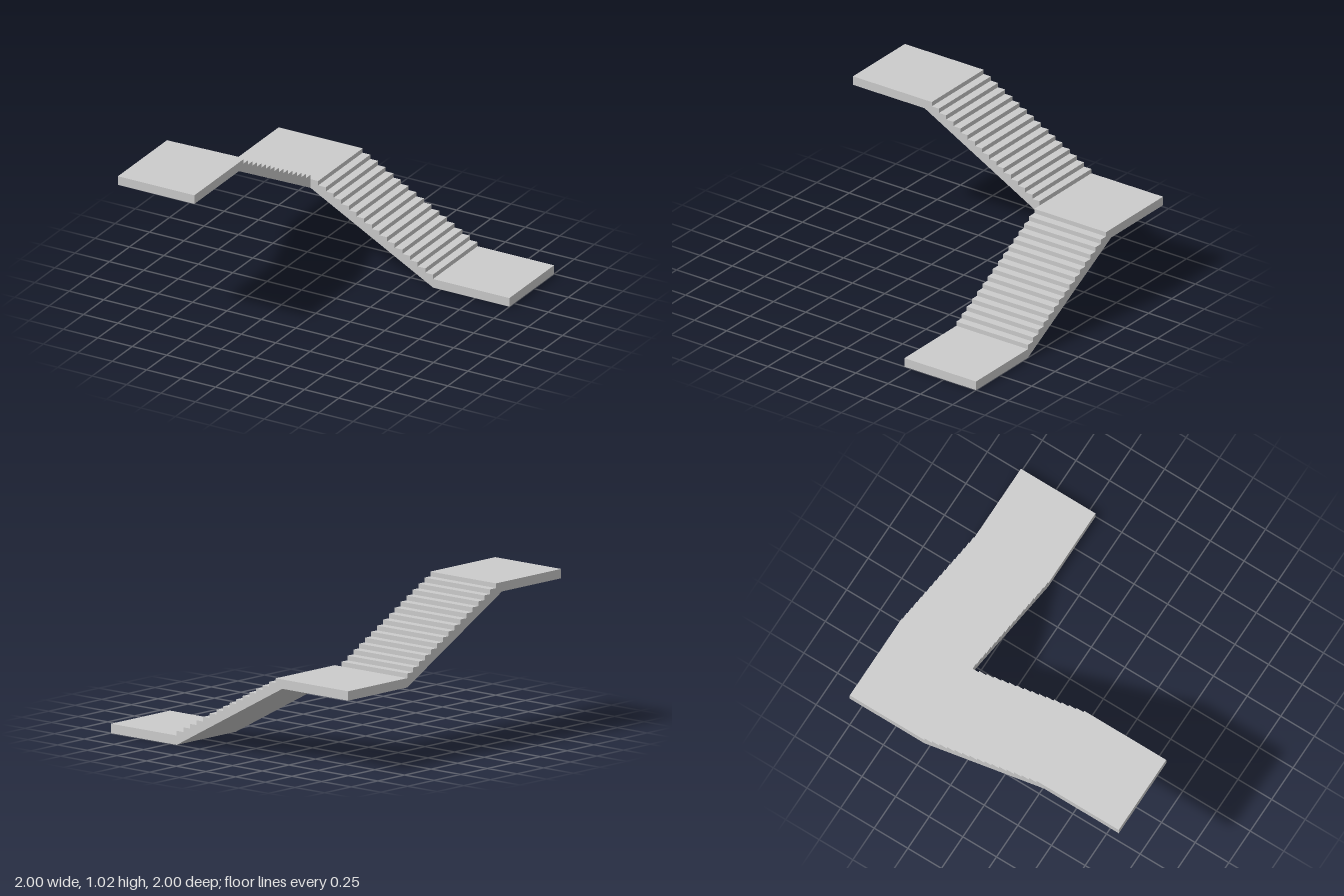
import * as THREE from 'three';

const STEPS = 16;
const RISE = 0.03;
const SLAB = 0.06;
const INNER = 0.445;          // edge where landings meet flights
const WIDTH = 1 - INNER;
const RUN = 2 * INNER;
const HEIGHT = STEPS * RISE;  // climb of one flight

const material = new THREE.MeshStandardMaterial({ color: 0xcccccc, flatShading: true });

// Square slab, given by its centre and underside height
function landing(name, x, y, z) {
  const mesh = new THREE.Mesh(new THREE.BoxGeometry(WIDTH, SLAB, WIDTH), material);
  mesh.name = name;
  mesh.position.set(x, y + SLAB / 2, z);
  return mesh;
}

// Stepped top over a sloping underside, extruded across the stair width
function flight(name, y, x, angle) {
  const tread = RUN / STEPS;
  const profile = new THREE.Shape();
  profile.moveTo(0, 0);
  profile.lineTo(RUN, HEIGHT);
  profile.lineTo(RUN, HEIGHT + SLAB);
  for (let i = STEPS - 1; i >= 0; i--) {
    const top = SLAB + (i + 1) * RISE;
    profile.lineTo(i * tread, top);
    if (i > 0) profile.lineTo(i * tread, top - RISE);
  }
  profile.closePath();
  const geometry = new THREE.ExtrudeGeometry(profile, { depth: WIDTH, bevelEnabled: false });
  const mesh = new THREE.Mesh(geometry, material);
  mesh.name = name;
  mesh.position.set(x, y, -INNER);
  mesh.rotation.y = angle;
  return mesh;
}

export function createModel() {
  const group = new THREE.Group();
  group.name = 'cornerStaircase';
  const c = (1 + INNER) / 2;
  group.add(
    landing('lowerLanding', c, 0, -c),
    landing('cornerLanding', -c, HEIGHT, -c),
    landing('upperLanding', -c, 2 * HEIGHT, c),
    // Lower flight climbs toward -x, upper flight toward +z
    flight('lowerFlight', 0, INNER, Math.PI),
    flight('upperFlight', HEIGHT, -INNER, -Math.PI / 2)
  );
  return group;
}
